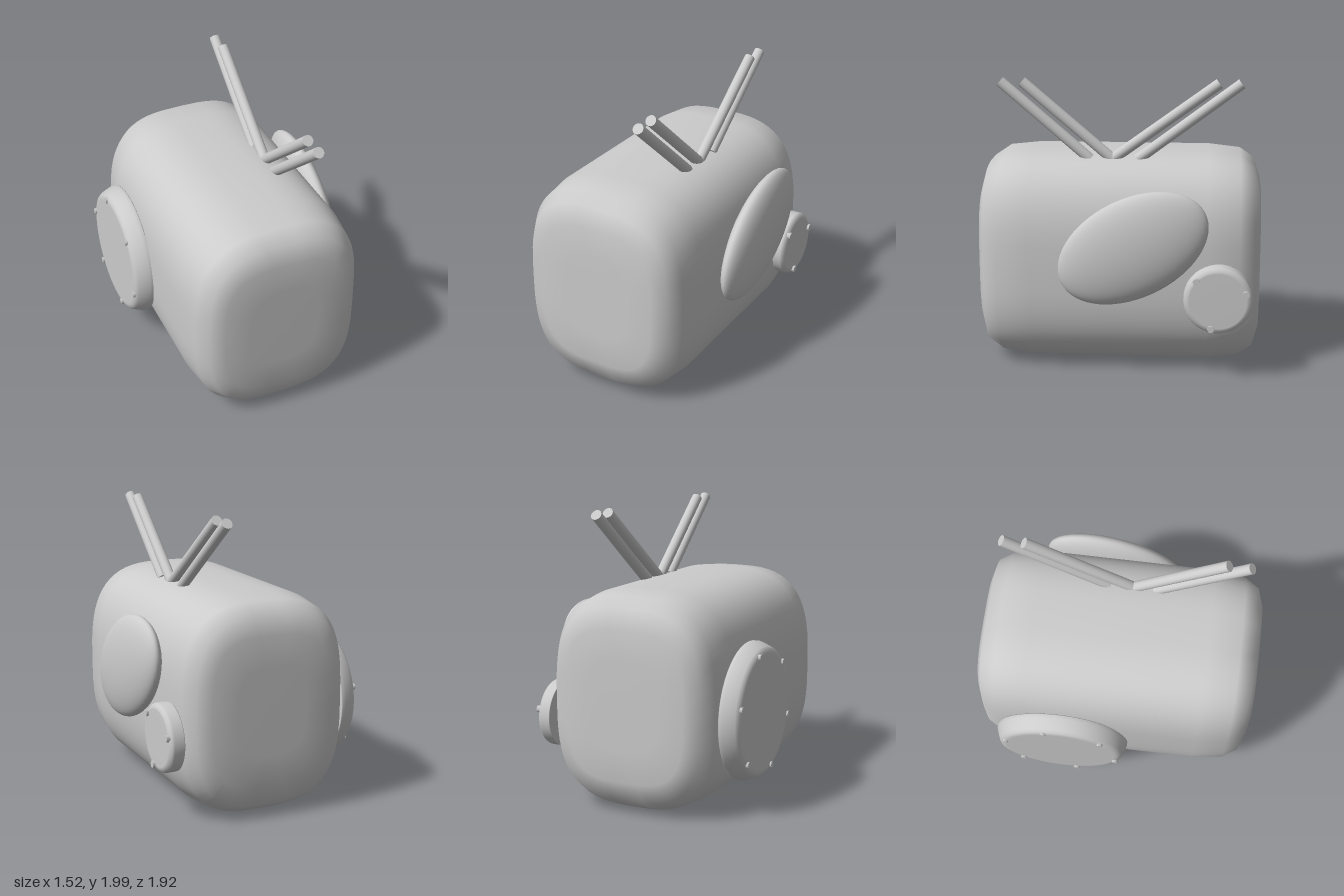
import * as THREE from 'three';

const material = new THREE.MeshStandardMaterial({ color: 0xcccccc });

function addMesh(parent, name, geometry) {
  const mesh = new THREE.Mesh(geometry, material);
  mesh.name = name;
  parent.add(mesh);
  return mesh;
}

// Soft box: superellipse rings [z, half width, half height, exponent] swept along z
function bodyGeometry() {
  const half = [
    [0.6, 0.62, 0.735, 3], [0.82, 0.59, 0.712, 3], [0.92, 0.53, 0.645, 3.1],
    [0.96, 0.43, 0.51, 3.3], [0.962, 0.25, 0.3, 3], [0.962, 0, 0, 3],
  ];
  const back = half.map(([z, ...rest]) => [-z, ...rest]).reverse();
  const rings = [...back, [0, 0.62, 0.735, 3], ...half];
  const sides = 64, positions = [], index = [];
  const power = (v, n) => Math.sign(v) * Math.abs(v) ** (2 / n);
  rings.forEach(([z, w, h, n], i) => {
    for (let j = 0; j < sides; j++) {
      const t = (j / sides) * Math.PI * 2;
      positions.push(w * power(Math.cos(t), n), h * power(Math.sin(t), n), z);
      if (i === rings.length - 1) continue;
      const a = i * sides + j, b = i * sides + ((j + 1) % sides);
      index.push(a, b, a + sides, b, b + sides, a + sides);
    }
  });
  const geometry = new THREE.BufferGeometry();
  geometry.setAttribute('position', new THREE.Float32BufferAttribute(positions, 3));
  geometry.setIndex(index);
  geometry.computeVertexNormals();
  return geometry;
}

// Round cover with bolts, built along y and turned to face +x (side 1) or -x (side -1)
function cover(name, side, position, profile, bolts, boltRadius, boltTop) {
  const group = new THREE.Group();
  group.name = name;
  group.position.set(...position);
  const points = profile.map(([r, h]) => new THREE.Vector2(r, h));
  addMesh(group, name + 'Plate', new THREE.LatheGeometry(points, 48)).rotation.z = -side * Math.PI / 2;
  for (const [y, z] of bolts) {
    const bolt = addMesh(group, name + 'Bolt', new THREE.CylinderGeometry(boltRadius, boltRadius, 0.04, 6));
    bolt.rotation.z = -side * Math.PI / 2;
    bolt.position.set(side * (boltTop - 0.02), y, z);
  }
  return group;
}

export function createModel() {
  const model = new THREE.Group();
  model.name = 'roundedBoxWithRods';

  addMesh(model, 'body', bodyGeometry()).position.set(-0.01, 0.745, 0);

  // Four rods leaning forward and back: [base z, tip z]
  for (const [baseZ, tipZ] of [[0.245, 0.817], [0.09, 0.668], [0.01, -0.668], [-0.16, -0.817]]) {
    const tip = new THREE.Vector3(0.255, 1.968, tipZ);
    const base = new THREE.Vector3(0.255, 1.475, baseZ);
    const direction = tip.clone().sub(base).normalize();
    base.addScaledVector(direction, -0.05);
    const rod = addMesh(model, 'rod', new THREE.CylinderGeometry(0.037, 0.037, tip.distanceTo(base), 20));
    rod.position.copy(base).add(tip).multiplyScalar(0.5);
    rod.quaternion.setFromUnitVectors(new THREE.Vector3(0, 1, 0), direction);
  }

  // Tilted oval pad on the left side
  const pad = addMesh(model, 'ovalPad', new THREE.SphereGeometry(1, 48, 32));
  pad.scale.set(0.11, 0.334, 0.539);
  pad.rotation.x = 0.496;
  pad.position.set(0.645, 0.92, -0.11);

  // Small cover on the left side
  model.add(cover('smallCover', 1, [0.59, 0.58, -0.68],
    [[0, 0], [0.23, 0], [0.231, 0.005], [0.231, 0.07], [0.225, 0.086], [0.205, 0.099], [0.19, 0.101], [0, 0.101]],
    [[0.135, 0.145], [0.055, -0.185], [-0.19, 0.045]], 0.025, 0.117));

  // Large cover on the right side with six evenly spaced bolts
  const ring = [];
  for (let k = 0; k < 6; k++) {
    const angle = (-15 + 60 * k) * Math.PI / 180;
    ring.push([0.405 * Math.sin(angle), 0.405 * Math.cos(angle)]);
  }
  model.add(cover('largeCover', -1, [-0.62, 0.66, -0.35],
    [[0, 0], [0.468, 0], [0.47, 0.005], [0.47, 0.03], [0.455, 0.07], [0.44, 0.105], [0.425, 0.122], [0.405, 0.129], [0.385, 0.13], [0, 0.13]],
    ring, 0.022, 0.142));

  return model;
}
